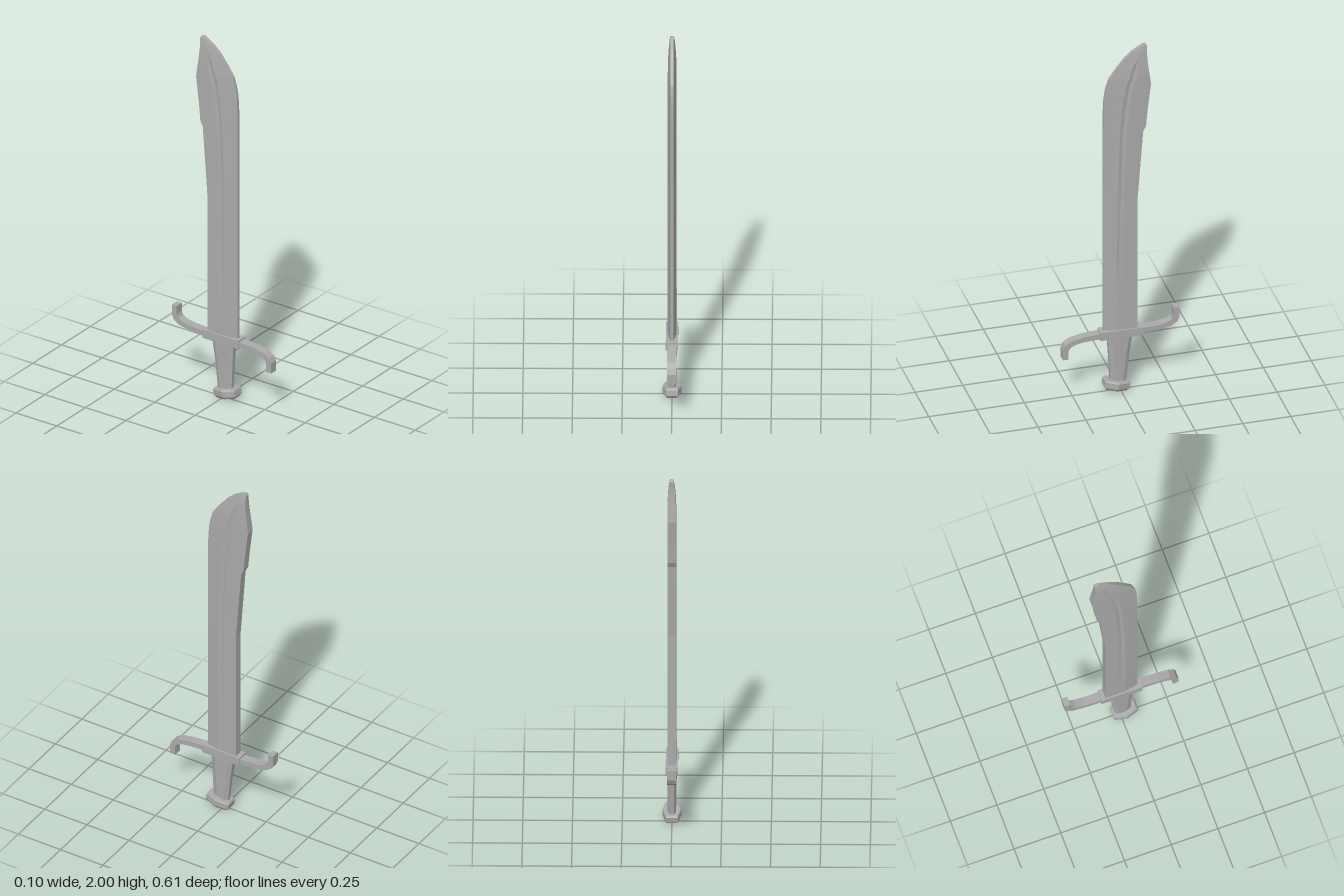
import * as THREE from 'three';

const steel = new THREE.MeshStandardMaterial({ color: 0xaaaaaa });
steel.name = 'grey steel';

// Skin closed rings (counterclockwise from above, listed bottom to top) with flat facets and caps
function loft(rings) {
  const pos = [];
  const tri = (...pts) => pts.forEach((p) => pos.push(...p));
  const n = rings[0].length;
  const centre = (ring) => [0, 1, 2].map((k) => ring.reduce((s, p) => s + p[k], 0) / n);
  const low = rings[0], high = rings[rings.length - 1];
  const cl = centre(low), ch = centre(high);
  for (let i = 0; i < n; i++) {
    const j = (i + 1) % n;
    for (let k = 0; k + 1 < rings.length; k++) {
      const a = rings[k], b = rings[k + 1];
      tri(a[i], a[j], b[j]);
      tri(a[i], b[j], b[i]);
    }
    tri(cl, low[j], low[i]);
    tri(ch, high[i], high[j]);
  }
  const g = new THREE.BufferGeometry();
  g.setAttribute('position', new THREE.Float32BufferAttribute(pos, 3));
  g.computeVertexNormals();
  return g;
}

// Ring symmetric in x from half-outline points [x, z] running front to back
function ring(y, half) {
  const right = half.map(([x, z]) => [x, y, z]);
  const left = half.map(([x, z]) => [-x, y, z]).reverse();
  return [...right, ...left];
}

function part(name, geometry) {
  const m = new THREE.Mesh(geometry, steel);
  m.name = name;
  return m;
}

export function createModel() {
  const sword = new THREE.Group();
  sword.name = 'sword';

  // Blade sections: y, cutting edge z, fuller front z, fuller back z, spine z, fuller depth, half thickness
  const sections = [
    [0.34, 0.09, 0.022, -0.015, -0.085, 0, 0.022],
    [0.55, 0.09, 0.022, -0.015, -0.085, 0.001, 0.022],
    [1.1, 0.09, 0.02, -0.016, -0.085, 0.004, 0.022],
    [1.5, 0.09, 0.006, -0.028, -0.115, 0.005, 0.022],
    [1.53, 0.09, 0.004, -0.031, -0.13, 0.005, 0.022],
    [1.63, 0.089, -0.003, -0.043, -0.139, 0.005, 0.022],
    [1.72, 0.084, -0.015, -0.056, -0.15, 0.005, 0.022],
    [1.77, 0.075, -0.026, -0.065, -0.156, 0.005, 0.022],
    [1.82, 0.06, -0.042, -0.08, -0.15, 0.005, 0.022],
    [1.88, 0.018, -0.063, -0.092, -0.142, 0.004, 0.02],
    [1.93, -0.022, -0.088, -0.093, -0.138, 0, 0.017],
    [1.965, -0.06, -0.104, -0.108, -0.137, 0, 0.014],
    [1.99, -0.1, -0.119, -0.122, -0.139, 0, 0.011],
    [2.0, -0.118, -0.126, -0.128, -0.134, 0, 0.009],
  ];
  sword.add(part('blade', loft(sections.map(([y, edge, f1, f2, spine, d, t]) => ring(y, [
    [0.008, edge], [t, f1], [t - d, (f1 + f2) / 2], [t, f2], [t, spine],
  ])))));

  // Guard block and the two opposed curled arms
  const block = part('guardBlock', new THREE.BoxGeometry(0.062, 0.045, 0.22));
  block.position.y = 0.337;
  sword.add(block);

  const arm = new THREE.Shape([
    [0.1, 0.322], [0.2, 0.317], [0.245, 0.307], [0.268, 0.293], [0.275, 0.275], [0.275, 0.23],
    [0.305, 0.23], [0.305, 0.285], [0.293, 0.31], [0.262, 0.331], [0.2, 0.344], [0.1, 0.352],
  ].map(([z, y]) => new THREE.Vector2(z, y - 0.336)));
  for (const side of [1, -1]) {
    const g = new THREE.ExtrudeGeometry(arm, { depth: 0.046, bevelEnabled: false });
    g.translate(0, 0, -0.023);
    g.rotateY(-Math.PI / 2);
    if (side < 0) g.rotateX(Math.PI);
    g.translate(0, 0.336, 0);
    sword.add(part(side > 0 ? 'frontGuardArm' : 'backGuardArm', g));
  }

  // Eight-sided grip, narrowing downwards
  const grip = (y, front, back, t) => ring(y, [
    [t * 0.5, front], [t, front - 0.025], [t, back + 0.02], [t * 0.5, back],
  ]);
  sword.add(part('grip', loft([
    grip(0.05, 0.053, -0.03, 0.021),
    grip(0.2, 0.06, -0.045, 0.023),
    grip(0.32, 0.067, -0.063, 0.026),
  ])));

  // Tilted pommel with chamfered ends
  const cap = (y, s) => ring(y, [
    [0.03 * s, 0.066 * s], [0.049 * s, 0], [0.03 * s, -0.066 * s],
  ]);
  const pommel = part('pommel', loft([cap(-0.026, 0.8), cap(-0.012, 1), cap(0.018, 1), cap(0.026, 0.9)]));
  pommel.position.set(0, 0.037, 0.022);
  pommel.rotation.x = -0.19;
  sword.add(pommel);

  return sword;
}
